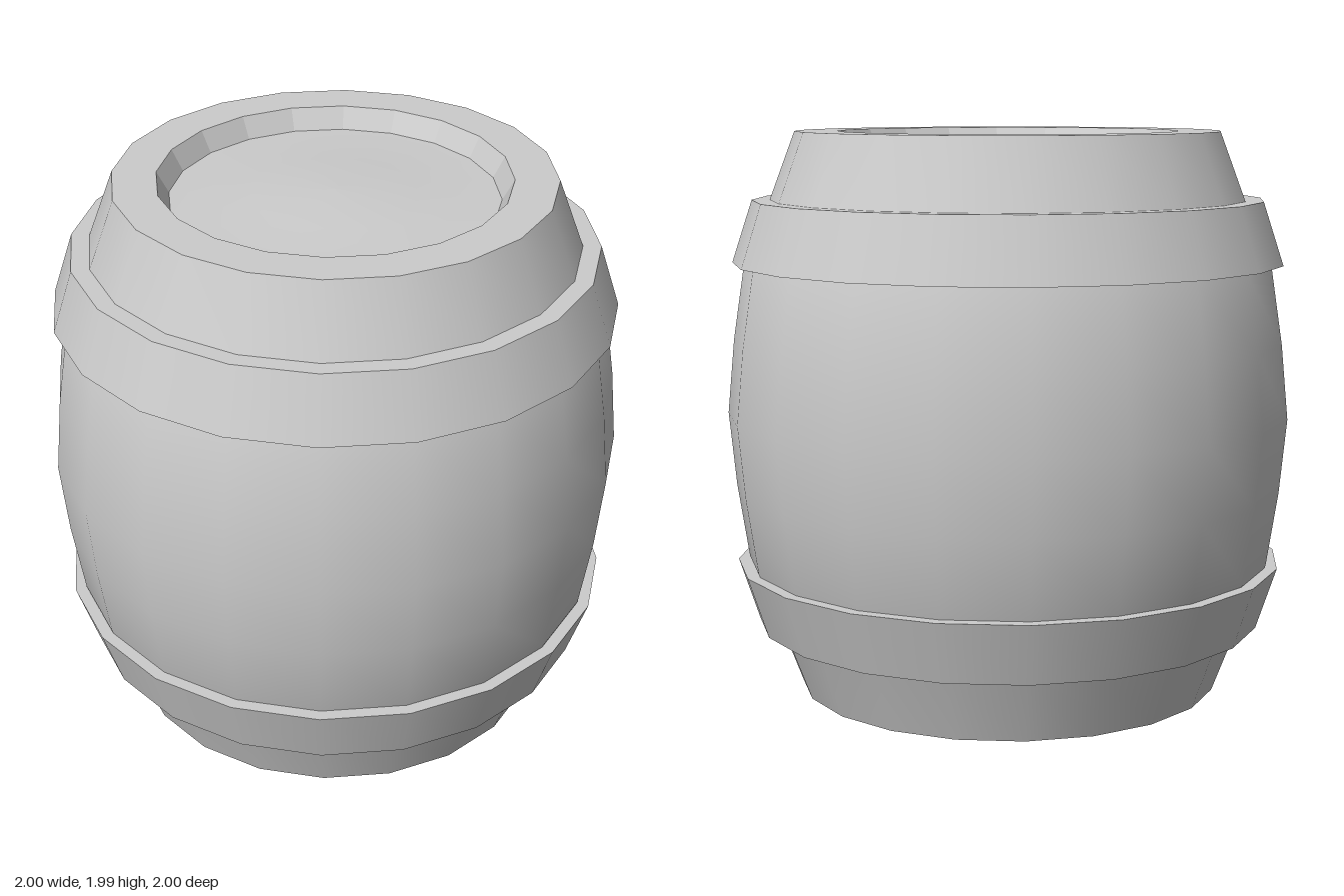
import * as THREE from 'three';

const SIDES = 20;
const HALF = 0.993; // half the barrel height

// One revolved surface; points run [radius, height] with the outside on the right-hand side going up
function revolve(name, points, flat = false) {
  const geometry = new THREE.LatheGeometry(points.map(([r, y]) => new THREE.Vector2(r, y)), SIDES);
  const mesh = new THREE.Mesh(geometry, new THREE.MeshStandardMaterial({ color: 0xcccccc, flatShading: flat }));
  mesh.name = name;
  return mesh;
}

// Each consecutive pair of points becomes its own surface, so the edges stay sharp
function creased(name, points) {
  const group = new THREE.Group();
  group.name = name;
  for (let i = 0; i < points.length - 1; i++) group.add(revolve(name + 'Face', [points[i], points[i + 1]]));
  return group;
}

export function createModel() {
  const barrel = new THREE.Group();
  barrel.name = 'barrel';

  // Bulging staves
  const upper = [[1, 0], [0.975, 0.262], [0.935, 0.525], [0.84, 0.754], [0.75, HALF]];
  const lower = upper.slice(1).reverse().map(([r, y]) => [r, -y]);
  barrel.add(revolve('staves', [...lower, ...upper]));

  // Hoops, rims and recessed heads, mirrored top and bottom
  const floor = HALF - 0.073;
  for (const [side, s] of [['upper', 1], ['lower', -1]]) {
    const place = (points) => {
      const p = points.map(([r, y]) => [r, y * s]);
      return s > 0 ? p : p.reverse();
    };
    barrel.add(creased(side + 'Hoop', place([[0.91, 0.535], [0.975, 0.535], [0.903, 0.754], [0.82, 0.754]])));
    barrel.add(revolve(side + 'Rim', place([[0.75, HALF], [0.6, HALF]])));
    barrel.add(revolve(side + 'RimWall', place([[0.6, HALF], [0.56, floor]]), true));
    // Slightly domed head
    barrel.add(revolve(side + 'Head', place([
      [0.56, floor], [0.42, floor + 0.003], [0.28, floor + 0.013], [0.14, floor + 0.023], [0, floor + 0.026],
    ])));
  }

  barrel.position.y = HALF;
  const model = new THREE.Group();
  model.name = 'barrelModel';
  model.add(barrel);
  return model;
}
